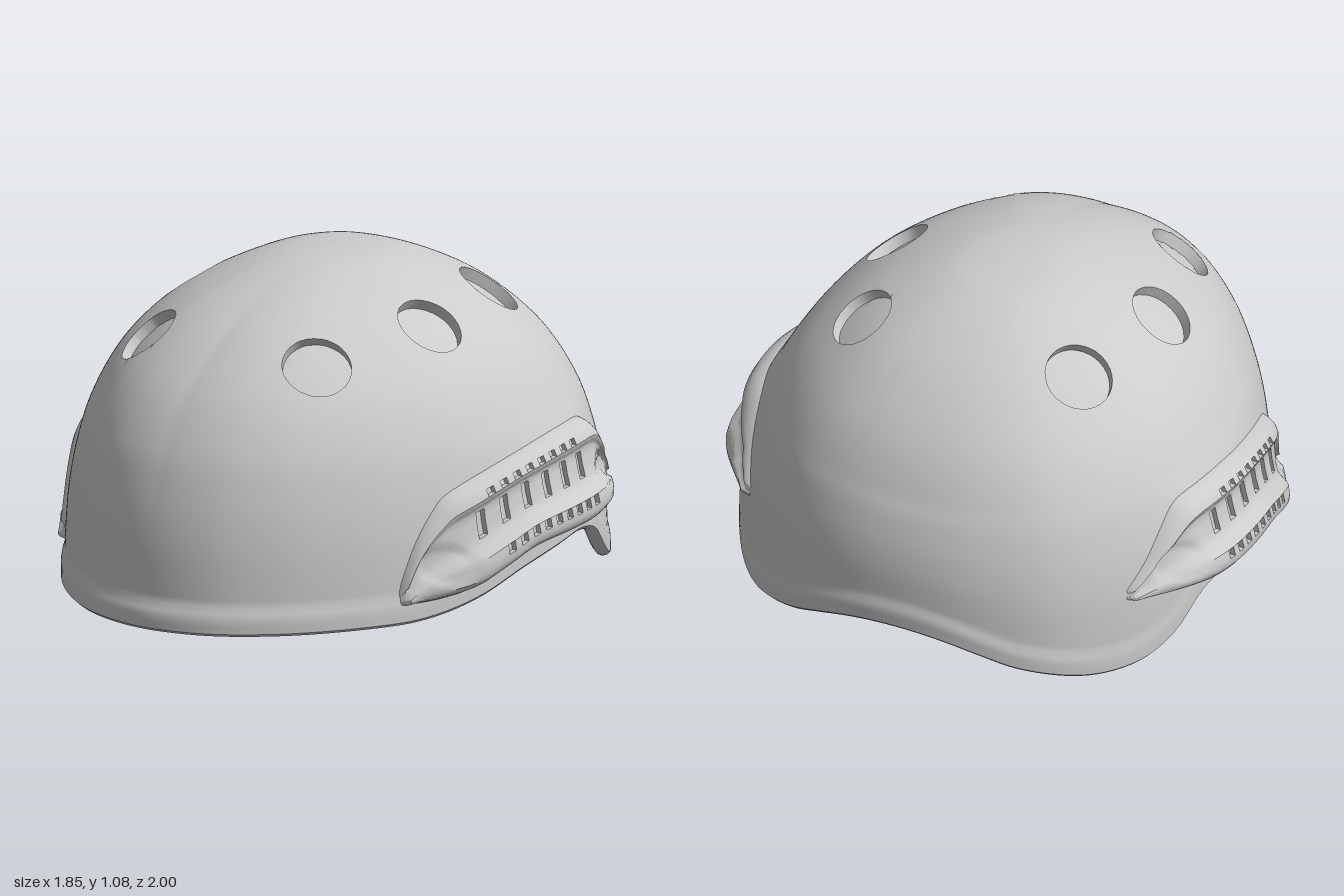
import * as THREE from 'three';
import { toCreasedNormals } from 'three/addons/utils/BufferGeometryUtils.js';

const V2 = (p) => new THREE.Vector2(p[0], p[1]);
const smooth = THREE.MathUtils.smoothstep;
const ZC = -0.12; // z of the crown axis

// Smooth lookup y(x) through a few points with rising x
function lookup(pts) {
  const s = new THREE.SplineCurve(pts.map(V2)).getPoints(240);
  return (x) => {
    if (x <= s[0].x) return s[0].y;
    for (let i = 1; i < s.length; i++) {
      if (x <= s[i].x) {
        const k = (x - s[i - 1].x) / (s[i].x - s[i - 1].x || 1);
        return s[i - 1].y + k * (s[i].y - s[i - 1].y);
      }
    }
    return s[s.length - 1].y;
  };
}

// Half plan of the shell (x, z from the axis), front to back
const half = [[0, 1.1], [0.22, 1.055], [0.41, 0.935], [0.57, 0.765], [0.695, 0.57], [0.8, 0.31], [0.855, 0],
  [0.825, -0.3], [0.69, -0.555], [0.5, -0.74], [0.27, -0.835], [0, -0.865]];
const mirrored = half.slice(1, -1).reverse().map(([x, z]) => [-x, z]);
const plan = new THREE.CatmullRomCurve3(
  [...half, ...mirrored].map(([x, z]) => new THREE.Vector3(x, 0, z)), true);
const planX = lookup([...half].reverse().map(([x, z]) => [z, x]));

// Dome profile: share of the plan radius against height
const profilePts = [[0, 1.08], [0.21, 1.062], [0.42, 0.995], [0.6, 0.9], [0.77, 0.76], [0.885, 0.6],
  [0.945, 0.45], [0.98, 0.3], [0.995, 0.15], [1, 0]];
const profile = new THREE.SplineCurve(profilePts.map(V2));
const shareAt = lookup([...profilePts].reverse().map(([p, y]) => [y, p]));

// Height of the lower edge against z
const edgeY = lookup([[-0.99, 0.18], [-0.95, 0.12], [-0.9, 0.07], [-0.8, 0.027], [-0.7, 0.015], [-0.6, 0.03],
  [-0.5, 0.085], [-0.4, 0.175], [-0.3, 0.2], [-0.2, 0.185], [0, 0.14], [0.2, 0.07], [0.4, 0.028],
  [0.6, 0.02], [1, 0.015]]);

// Point of the outer dome: u round the plan, t from crown (0) to lower edge (1)
function domePoint(u, t, flare = true) {
  const q = plan.getPoint(u), a = profile.getPointAt(t);
  const b = edgeY(q.z + ZC);
  const y = a.y > 0.6 ? a.y : 0.6 - (0.6 - a.y) * (0.6 - b) / 0.6;
  // fuller towards the front corners, small lip at front and back
  const full = 0.06 * smooth(q.z, -0.1, 0.5) * Math.sin(Math.PI * a.x) * Math.min(1, Math.abs(q.x) / 0.4);
  const lip = (0.006 + 0.012 * q.z * q.z) * (1 - smooth(y, b + 0.05, b + 0.09));
  const k = a.x * (1 + full) + (flare ? lip : 0);
  return new THREE.Vector3(q.x * k, y, q.z * k + ZC);
}

// Grid surface; cells claimed by a pocket are sunk and walled in
function gridGeometry(rows, cols, closed, point, pocketOf) {
  const verts = [], tris = [], pockets = new Map();
  for (let i = 0; i < rows; i++) for (let j = 0; j < cols; j++) verts.push(point(i, j));
  const id = (i, j) => i * cols + (j % cols);
  for (let i = 0; i < rows - 1; i++) {
    for (let j = 0; j < (closed ? cols : cols - 1); j++) {
      const [a, b, c, d] = [id(i, j), id(i + 1, j), id(i + 1, j + 1), id(i, j + 1)];
      for (const t of [[a, b, c], [a, c, d]]) {
        const pocket = pocketOf(i, j, t.map((n) => verts[n]));
        if (!pocket) tris.push(t);
        else pockets.set(pocket, [...(pockets.get(pocket) || []), t]);
      }
    }
  }
  for (const [pocket, list] of pockets) {
    const edges = new Set(), border = [], sunk = new Map();
    const pairs = (t) => [[t[0], t[1]], [t[1], t[2]], [t[2], t[0]]];
    list.forEach((t) => pairs(t).forEach((e) => edges.add(e.join())));
    list.forEach((t) => pairs(t).forEach(([p, q]) => { if (!edges.has(q + ',' + p)) border.push([p, q]); }));
    if (pocket.centre) {
      // pull the border onto a true circle
      new Set(border.flat()).forEach((n) => verts[n].sub(pocket.centre).setLength(pocket.radius).add(pocket.centre));
    }
    const low = (n) => {
      if (!sunk.has(n)) sunk.set(n, verts.push(verts[n].clone().add(pocket.push)) - 1);
      return sunk.get(n);
    };
    list.forEach((t) => tris.push(t.map(low)));
    border.forEach(([p, q]) => tris.push([p, q, low(q)], [p, low(q), low(p)]));
  }
  const g = new THREE.BufferGeometry().setFromPoints(verts);
  g.setIndex(tris.flat());
  return toCreasedNormals(g, 0.6);
}

// Shell: outer dome with round recesses, rolled rim and inner dome in one skin
function shellGeometry() {
  const OUT = 76, COLS = 192, IN = 30;
  const rim = [[0.01, -0.01], [0.026, -0.014], [0.042, -0.008], [0.054, 0.008], [0.06, 0.03], [0.06, 0.055]];
  const holes = [];
  for (const [x, z] of [[0.4, -0.41], [0.49, 0.045], [0.345, 0.485]]) {
    let best = null, dist = 9;
    for (let i = 10; i < 60; i++) {
      for (let j = 0; j < 100; j++) {
        const p = domePoint(j / 200, i / 80);
        const d = Math.hypot(p.x - x, p.z - z);
        if (d < dist) { dist = d; best = p; }
      }
    }
    for (const s of [1, -1]) {
      const centre = new THREE.Vector3(s * x, best.y, z);
      const push = centre.clone().sub(new THREE.Vector3(0, 0.1, -0.1)).setLength(-0.04);
      holes.push({ centre, push, radius: 0.116 });
    }
  }
  const point = (i, j) => {
    const u = j / COLS;
    if (i < OUT) return domePoint(u, i / (OUT - 1));
    const r = i - OUT;
    if (r < rim.length) {
      const p = domePoint(u, 1), k = 1 - rim[r][0] / 0.93;
      return p.set(p.x * k, p.y + rim[r][1], (p.z - ZC) * k + ZC);
    }
    const t = 0.95 * (1 - (r - rim.length) / (IN - 1));
    const p = domePoint(u, t, false);
    return p.set(p.x * 0.938, p.y - 0.06 * (1 - t * t), (p.z - ZC) * 0.938 + ZC);
  };
  const mid = new THREE.Vector3();
  return gridGeometry(OUT + rim.length + IN, COLS, true, point, (i, j, t) => {
    if (i >= OUT - 1) return null;
    mid.copy(t[0]).add(t[1]).add(t[2]).divideScalar(3);
    return holes.find((h) => mid.distanceTo(h.centre) < h.radius);
  });
}

// Side rail outline against z, and its cross-section (share of height, stand-off)
const railTop = lookup([[-0.66, 0.29], [-0.58, 0.38], [-0.5, 0.475], [-0.42, 0.54], [-0.3, 0.55], [-0.1, 0.53],
  [0.1, 0.49], [0.28, 0.435], [0.35, 0.38], [0.42, 0.28], [0.47, 0.16], [0.485, 0.1]]);
const railLow = lookup([[-0.66, 0.265], [-0.55, 0.255], [-0.45, 0.245], [-0.3, 0.225], [-0.02, 0.205],
  [0.12, 0.16], [0.25, 0.11], [0.35, 0.09], [0.485, 0.08]]);
const railCorners = [[1, -0.02], [0.99, 0.012], [0.965, 0.032], [0.93, 0.047], [0.89, 0.057], [0.82, 0.063],
  [0.78, 0.055], [0.73, 0.04], [0.7, 0.036], [0.57, 0.034], [0.44, 0.037], [0.38, 0.045], [0.33, 0.066],
  [0.29, 0.08], [0.19, 0.083], [0.1, 0.077], [0.04, 0.06], [0, 0.03], [-0.01, -0.02]];
const railSection = railCorners.flatMap((c, i) => {
  const n = railCorners[i + 1];
  return n ? [c, [(c[0] + n[0]) / 2, (c[1] + n[1]) / 2]] : [c];
});

function railGeometry(side) {
  // slots along the middle, small square notches above and below
  const cuts = [];
  const addRow = (n, first, step, w, v0, v1) => {
    for (let i = 0; i < n; i++) {
      const z = first - i * step;
      cuts.push({ z0: z - w / 2, z1: z + w / 2, v0, v1, push: new THREE.Vector3(-side * 0.018, 0, 0) });
    }
  };
  addRow(6, 0.2, 0.101, 0.034, 0.44, 0.7);
  addRow(8, 0.165, 0.06, 0.03, 0.82, 0.89);
  addRow(9, 0.13, 0.055, 0.028, 0.19, 0.29);
  const zs = cuts.flatMap((c) => [c.z0, c.z1]);
  for (let i = 0; i <= 20; i++) zs.push(0.225 + 0.26 * i / 20, -0.33 - 0.33 * i / 20);
  zs.sort((a, b) => side * (b - a));

  const point = (i, j) => {
    const z = zs[j], [v, o] = railSection[i];
    const lo = railLow(z), hi = railTop(z), y = lo + v * (hi - lo);
    const p = shareAt(y);
    const taper = (0.4 + 0.6 * smooth(z, -0.65, -0.4)) * (0.5 + 0.5 * (1 - smooth(z, 0.22, 0.47)));
    let off = o > 0 ? o * taper : o;
    // shallow oval dish near each end
    for (const [dz, dy, rz, ry] of [[0.34, 0.2, 0.1, 0.075], [-0.49, 0.35, 0.1, 0.07]]) {
      const d = Math.hypot((z - dz) / rz, (y - dy) / ry);
      if (o > 0) off -= 0.012 * (1 - smooth(d, 0.6, 1));
    }
    if (j === 0 || j === zs.length - 1) off = -0.02;
    return new THREE.Vector3(side * (p * planX((z - ZC) / p) + off), y, z);
  };
  return gridGeometry(railSection.length, zs.length, false, point, (i, j) => {
    const z = (zs[j] + zs[j + 1]) / 2, v = (railSection[i][0] + railSection[i + 1][0]) / 2;
    return cuts.find((c) => z > c.z0 && z < c.z1 && v > c.v0 && v < c.v1);
  });
}

export function createModel() {
  const group = new THREE.Group();
  group.name = 'helmet';
  const material = new THREE.MeshStandardMaterial({ color: 0xcccccc });
  const add = (name, geometry, mat = material) => {
    const mesh = new THREE.Mesh(geometry, mat);
    mesh.name = name;
    group.add(mesh);
  };
  add('shell', shellGeometry());
  const railMaterial = new THREE.MeshStandardMaterial({ color: 0xcccccc, side: THREE.DoubleSide });
  add('leftRail', railGeometry(1), railMaterial);
  add('rightRail', railGeometry(-1), railMaterial);
  return group;
}
